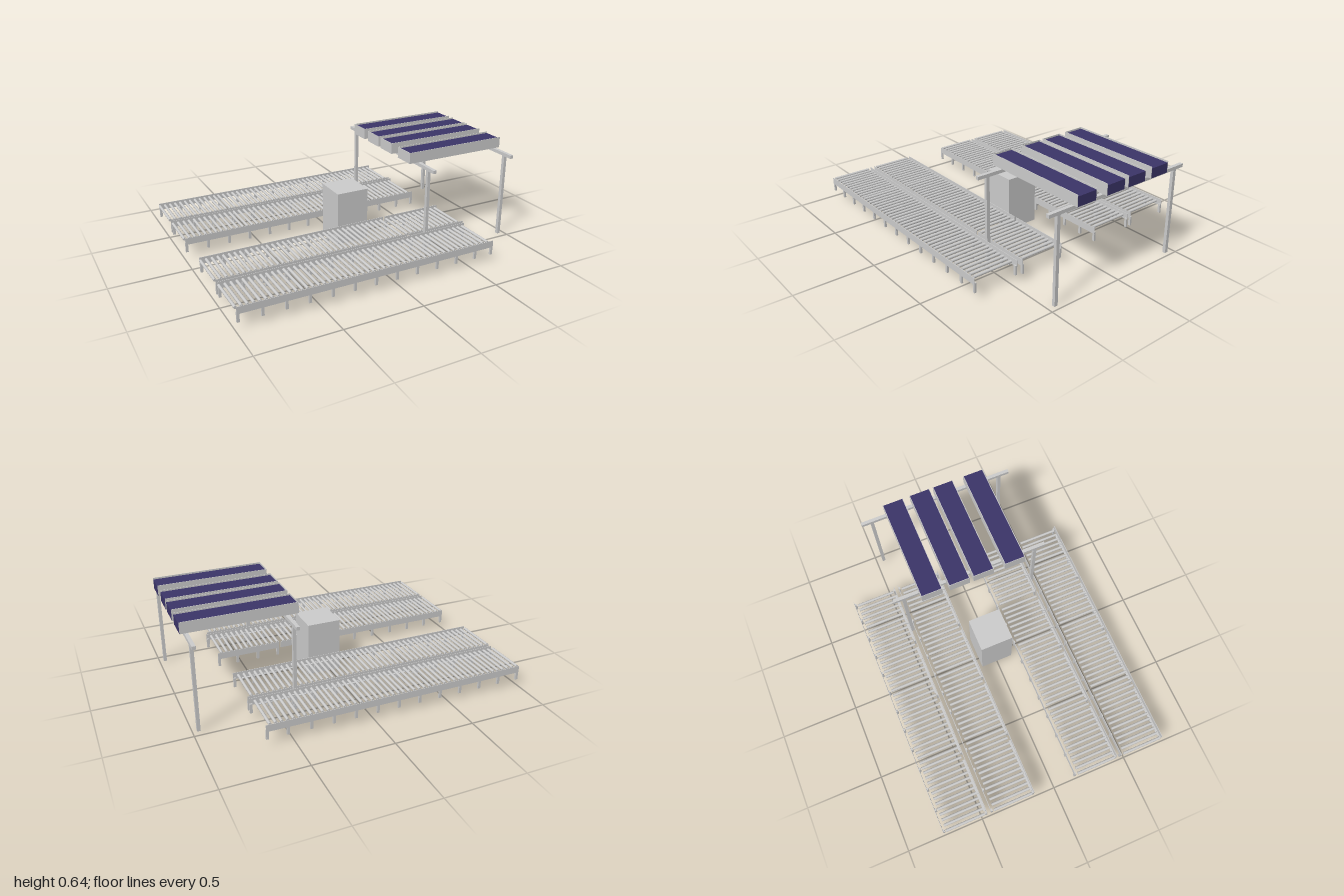
import * as THREE from 'three';

const grey = new THREE.MeshStandardMaterial({ color: 0xcccccc });
const blue = new THREE.MeshStandardMaterial({ color: 0x3b3468 });

// Box given by its min and max corners
function box(parent, name, [x0, y0, z0], [x1, y1, z1], material = grey) {
  const mesh = new THREE.Mesh(new THREE.BoxGeometry(x1 - x0, y1 - y0, z1 - z0), material);
  mesh.position.set((x0 + x1) / 2, (y0 + y1) / 2, (z0 + z1) / 2);
  mesh.name = name;
  parent.add(mesh);
  return mesh;
}

const SECTION = 0.4135;   // length of one conveyor section
const HALF = 0.148;       // half width of a conveyor
const rollerGeometry = new THREE.CylinderGeometry(0.009, 0.009, 0.258, 12).rotateX(Math.PI / 2);

// One section: two side rails, feet and twelve rollers, starting at x = 0
function conveyorSection(isLast) {
  const section = new THREE.Group();
  section.name = 'conveyorSection';
  for (const side of [-1, 1]) {
    const outer = side * HALF;
    const inner = side * (HALF - 0.003);
    box(section, 'sideRail', [0, 0.099, Math.min(outer, inner)], [SECTION, 0.142, Math.max(outer, inner)]);
    const feet = isLast ? 4 : 3;
    for (let i = 0; i < feet; i++) {
      const x = i * SECTION / 3 - (i === 3 ? 0.016 : 0);
      const z = side * (HALF - 0.007);
      box(section, 'foot', [x, 0.049, z - 0.006], [x + 0.016, 0.11, z + 0.006]);
    }
  }
  // lower lip of the front rail
  box(section, 'railLip', [0.02, 0.099, HALF - 0.017], [SECTION - 0.045, 0.102, HALF - 0.003]);
  for (let i = 0; i < 12; i++) {
    const roller = new THREE.Mesh(rollerGeometry, grey);
    roller.name = 'roller';
    roller.position.set(0.001 + i * 0.0348, 0.131, 0.001);
    section.add(roller);
  }
  return section;
}

// Line of four sections; the last may be offset along x
function conveyor(z, lastShift = 0) {
  const line = new THREE.Group();
  line.name = 'rollerConveyor';
  line.position.z = z;
  for (let i = 0; i < 4; i++) {
    const section = conveyorSection(i === 3);
    section.position.x = -0.991 + i * SECTION + (i === 3 ? lastShift : 0);
    line.add(section);
  }
  return line;
}

// Blue slab held in a thin tray, open at the +x end
function canopyPanel(z) {
  const panel = new THREE.Group();
  panel.name = 'canopyPanel';
  panel.position.z = z;
  const x0 = 0.305, x1 = 0.999, y0 = 0.567, y1 = 0.637, w = 0.0685, t = 0.003;
  box(panel, 'panelSlab', [x0 + t, y0, -w + t], [x1, 0.627, w - t], blue);
  box(panel, 'panelSideBack', [x0, y0, -w], [x1, y1, -w + t]);
  box(panel, 'panelSideFront', [x0, y0, w - t], [x1, y1, w]);
  box(panel, 'panelEnd', [x0, y0, -w + t], [x0 + t, y1, w - t]);
  return panel;
}

export function createModel() {
  const model = new THREE.Group();
  model.name = 'conveyorStation';

  // Four parallel roller conveyors
  for (const z of [-0.609, -0.289, 0.609]) model.add(conveyor(z));
  model.add(conveyor(0.287, 0.013));

  // Cabinet in the middle aisle
  box(model, 'cabinet', [-0.065, 0, -0.107], [0.151, 0.348, 0.107]);

  // Canopy frame: two beams on four posts
  const frame = new THREE.Group();
  frame.name = 'canopyFrame';
  for (const x of [0.376, 0.963]) {
    box(frame, 'beam', [x - 0.011, 0.546, -0.517], [x + 0.011, 0.567, 0.517]);
    for (const z of [-0.448, 0.448])
      box(frame, 'post', [x - 0.01, 0, z - 0.011], [x + 0.01, 0.546, z + 0.011]);
  }
  model.add(frame);

  // Canopy panels
  for (const z of [-0.279, -0.095, 0.067, 0.28]) model.add(canopyPanel(z));

  return model;
}
